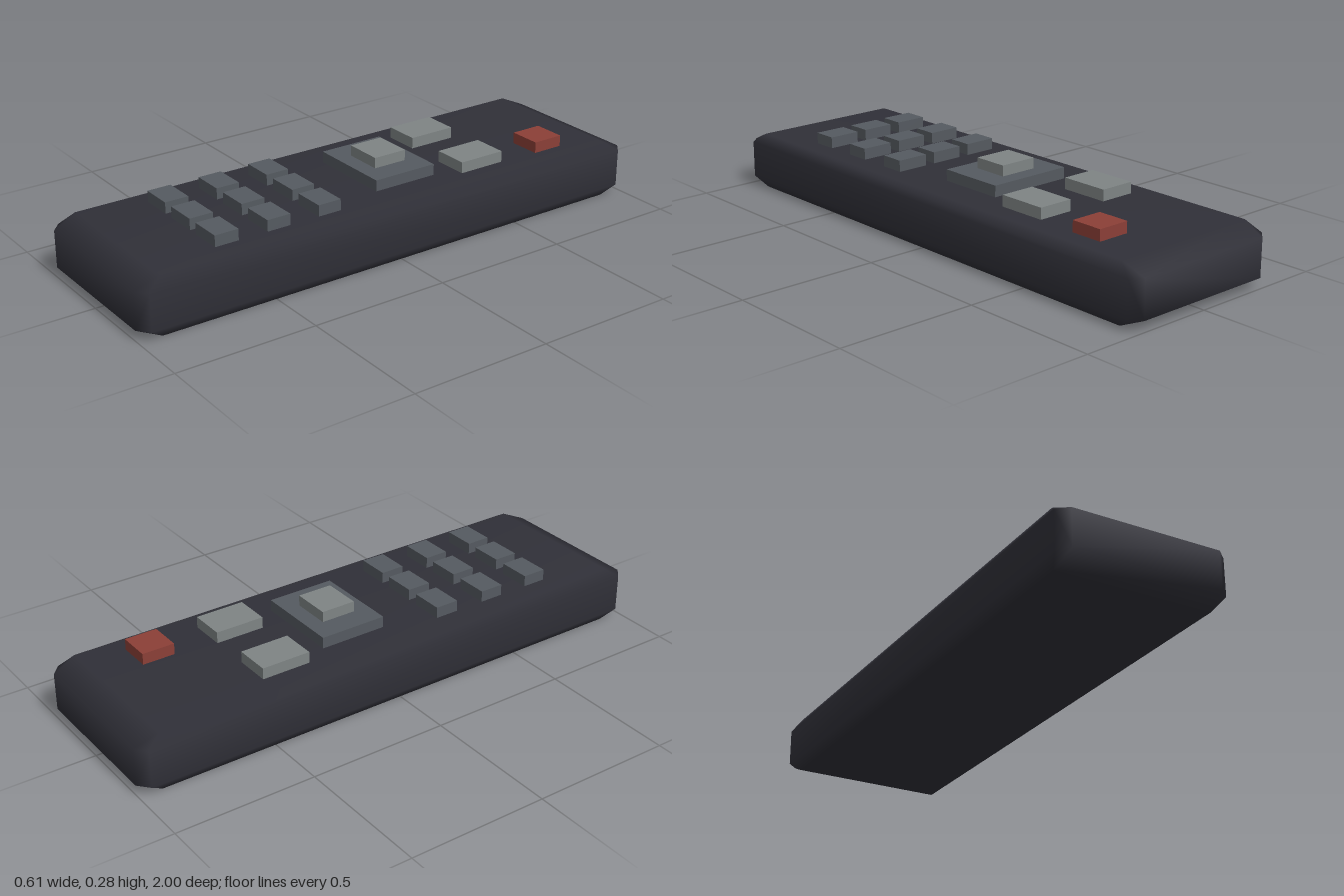
import * as THREE from 'three';

const mat = (name, color) => {
  const m = new THREE.MeshStandardMaterial({ color });
  m.name = name;
  return m;
};

// Chamfered slab: each face of the box is inset, then edges and corners are bridged
function chamferedSlab() {
  const H = 0.207, pos = [], index = [], ids = {};
  const signs = [-1, 1];
  // Corner points of each corner, one per axis: side face, top/bottom face, end face
  const points = [[0.305, 0.17, 0.965], [0.28, H, 0.915], [0.265, 0.17, 1]];
  for (const sx of signs) for (const sy of signs) for (const sz of signs) {
    points.forEach(([x, y, z], axis) => {
      ids[[sx, sy, sz, axis]] = pos.length / 3;
      pos.push(sx * x, sy > 0 ? y : H - y, sz * z);
    });
  }
  const v = (i) => new THREE.Vector3(pos[3 * i], pos[3 * i + 1] - H / 2, pos[3 * i + 2]);
  // Adds a triangle, turned so that it faces outwards
  const tri = (a, b, c) => {
    const n = v(b).sub(v(a)).cross(v(c).sub(v(a)));
    const out = n.dot(v(a).add(v(b)).add(v(c))) > 0;
    index.push(a, ...(out ? [b, c] : [c, b]));
  };
  const quad = (a, b, c, d) => { tri(a, b, c); tri(a, c, d); };
  const id = (axis, signOf) => ids[[signOf[0], signOf[1], signOf[2], axis]];
  for (let a = 0; a < 3; a++) {
    const b = (a + 1) % 3, c = (a + 2) % 3;
    const at = (axis, sa, sb, sc) => {
      const s = [];
      s[a] = sa; s[b] = sb; s[c] = sc;
      return id(axis, s);
    };
    // Flat faces
    for (const s of signs) quad(at(a, s, -1, -1), at(a, s, 1, -1), at(a, s, 1, 1), at(a, s, -1, 1));
    // Edge chamfers running along axis a
    for (const sb of signs) for (const sc of signs) {
      quad(at(b, -1, sb, sc), at(b, 1, sb, sc), at(c, 1, sb, sc), at(c, -1, sb, sc));
    }
  }
  // Corner facets
  for (const sx of signs) for (const sy of signs) for (const sz of signs) {
    tri(...[0, 1, 2].map((axis) => id(axis, [sx, sy, sz])));
  }
  const g = new THREE.BufferGeometry();
  g.setAttribute('position', new THREE.Float32BufferAttribute(pos, 3));
  g.setIndex(index);
  g.computeVertexNormals();
  return g;
}

export function createModel() {
  const group = new THREE.Group();
  const bodyMat = mat('charcoal', 0x303038);
  const keyMat = mat('dark grey', 0x555a60);
  const lightMat = mat('light grey', 0x7e8484);
  const redMat = mat('red', 0x8b3f37);

  const body = new THREE.Mesh(chamferedSlab(), bodyMat);
  body.name = 'body';
  group.add(body);

  // Box button given by its centre, size and height range
  const button = (name, material, x, z, w, d, y0 = 0.2, y1 = 0.247) => {
    const m = new THREE.Mesh(new THREE.BoxGeometry(w, y1 - y0, d), material);
    m.position.set(x, (y0 + y1) / 2, z);
    m.name = name;
    group.add(m);
  };

  button('powerButton', redMat, 0.154, -0.703, 0.118, 0.117);
  button('leftRocker', lightMat, 0.139, -0.405, 0.13, 0.178);
  button('rightRocker', lightMat, -0.141, -0.405, 0.13, 0.178);
  button('navigationPad', keyMat, 0, -0.106, 0.315, 0.245);
  button('selectButton', lightMat, 0, -0.106, 0.141, 0.127, 0.24, 0.285);

  // Keypad, three by three
  for (const z of [0.245, 0.442, 0.637]) {
    for (const x of [-0.156, 0, 0.154]) {
      button('keypadButton', keyMat, x, z, 0.117, 0.087);
    }
  }
  return group;
}
